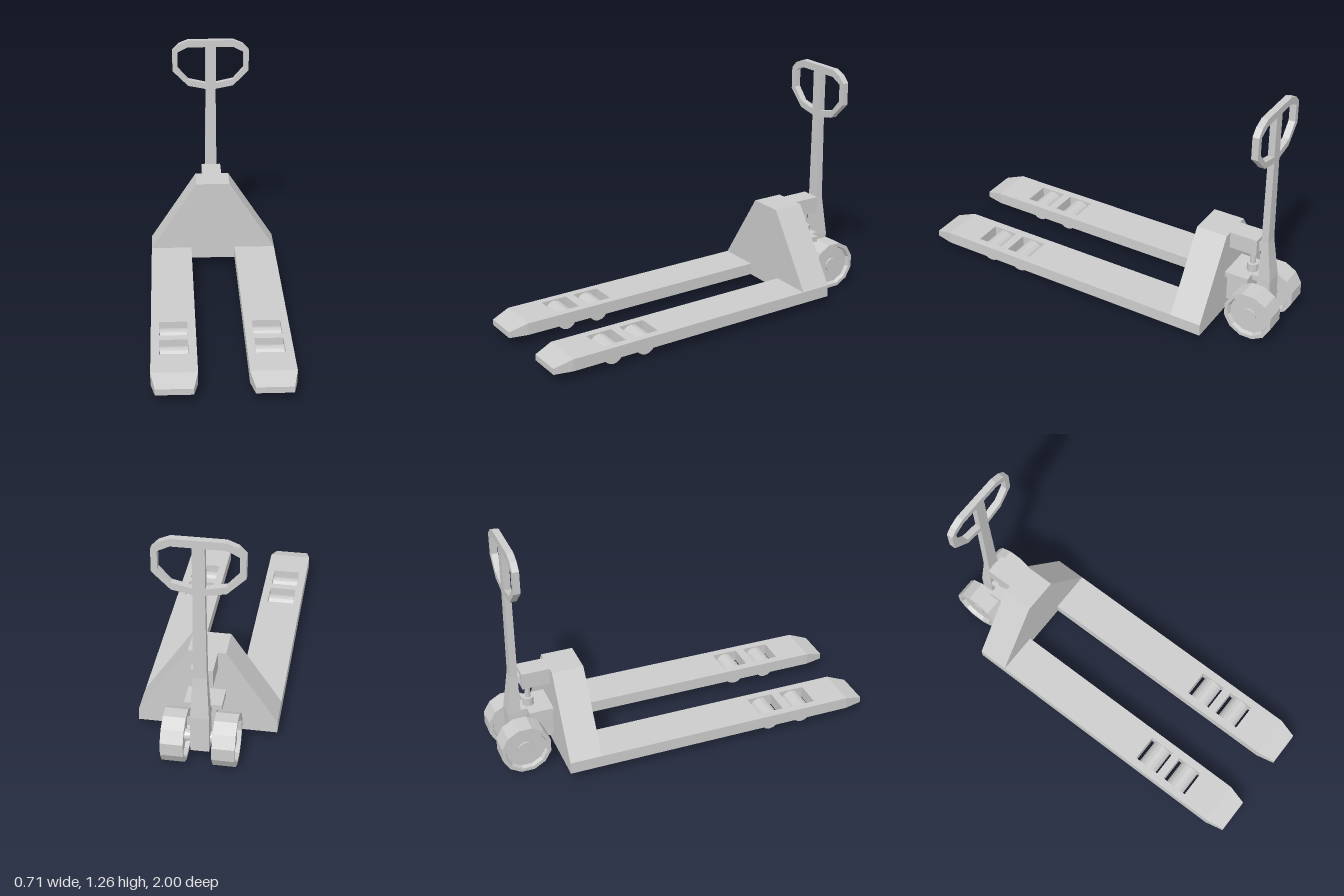
import * as THREE from 'three';

export function createModel() {
  const model = new THREE.Group();
  model.name = 'palletJack';
  const mat = new THREE.MeshStandardMaterial({ color: 0xcccccc, flatShading: true });

  const add = (name, geo, x = 0, y = 0, z = 0, parent = model) => {
    const m = new THREE.Mesh(geo, mat);
    m.name = name;
    m.position.set(x, y, z);
    parent.add(m);
    return m;
  };
  // box given by its limits
  const block = (name, x0, x1, y0, y1, z0, z1, parent) =>
    add(name, new THREE.BoxGeometry(x1 - x0, y1 - y0, z1 - z0),
      (x0 + x1) / 2, (y0 + y1) / 2, (z0 + z1) / 2, parent);
  const shapeOf = pts => new THREE.Shape(pts.map(p => new THREE.Vector2(...p)));
  const extrude = (shape, depth) => new THREE.ExtrudeGeometry(shape, { depth, bevelEnabled: false });
  const mirrored = pts => [...pts, ...pts.slice().reverse().map(([x, y]) => [-x, y])];

  // Housing: a truncated triangular block behind the forks
  add('housing', extrude(shapeOf(mirrored([[0.355, 0.05], [0.355, 0.115], [0.095, 0.51]])), 0.17), 0, 0, -0.69);

  // Forks with roller slots and tapered tips
  const rollerZ = [0.46, 0.65];
  for (const side of [1, -1]) {
    const fork = new THREE.Group();
    fork.name = side > 0 ? 'leftFork' : 'rightFork';
    fork.position.x = side * 0.24;
    model.add(fork);

    // plan outline, drawn with y = -z
    const plan = shapeOf([[-0.115, -0.9], [0.115, -0.9], [0.115, 0.53], [-0.115, 0.53]]);
    for (const z of rollerZ) {
      const a = -z - 0.072, b = -z + 0.072;
      plan.holes.push(new THREE.Path([[-0.073, a], [-0.073, b], [0.073, b], [0.073, a]]
        .map(p => new THREE.Vector2(...p))));
    }
    add('forkBlade', extrude(plan, 0.065).rotateX(-Math.PI / 2), 0, 0.05, 0, fork);

    const tip = new THREE.BoxGeometry(0.23, 0.065, 0.1);
    const p = tip.attributes.position;
    for (let i = 0; i < p.count; i++) {
      if (p.getZ(i) < 0) continue;
      p.setX(i, p.getX(i) * 0.81);
      if (p.getY(i) > 0) p.setY(i, 0.0);
    }
    tip.computeVertexNormals();
    add('forkTip', tip, 0, 0.0825, 0.95, fork);

    for (const z of rollerZ)
      add('loadRoller', new THREE.CylinderGeometry(0.055, 0.055, 0.143, 16).rotateZ(Math.PI / 2), 0, 0.055, z, fork);
  }

  // Steering wheels: 12-sided, with recessed faces and a raised hub
  const half = [[0, 0.045], [0.04, 0.045], [0.04, 0.035], [0.108, 0.035], [0.115, 0.057], [0.1345, 0.057]];
  const profile = [...half.map(([r, y]) => [r, -y]), ...half.slice().reverse()]
    .map(p => new THREE.Vector2(...p));
  const wheelGeo = new THREE.LatheGeometry(profile, 12).rotateY(Math.PI / 12).rotateZ(Math.PI / 2);
  for (const side of [1, -1])
    add(side > 0 ? 'leftWheel' : 'rightWheel', wheelGeo, side * 0.127, 0.13, -0.87);
  add('axle', new THREE.CylinderGeometry(0.03, 0.03, 0.2, 12).rotateZ(Math.PI / 2), 0, 0.13, -0.87);

  // Pump: upper arm, base plate, lower mount and piston
  block('upperArm', -0.055, 0.055, 0.42, 0.51, -0.84, -0.69);
  block('basePlate', -0.095, 0.095, 0.26, 0.29, -0.82, -0.69);
  block('basePlateTongue', -0.045, 0.045, 0.26, 0.29, -0.86, -0.82);
  block('lowerMount', -0.065, 0.065, 0.105, 0.26, -0.8, -0.69);
  add('piston', new THREE.CylinderGeometry(0.015, 0.015, 0.13, 12), 0, 0.355, -0.8);
  add('pistonCollar', new THREE.CylinderGeometry(0.03, 0.03, 0.045, 12), 0, 0.3125, -0.8);
  add('handlePivot', new THREE.CylinderGeometry(0.02, 0.04, 0.02, 4, 1).rotateY(Math.PI / 4).rotateX(-Math.PI / 2),
    0, 0.46, -0.848);

  // Handle stalk: stacked cross-sections [y, half width, front z, back z]
  const sections = [[0.08, 0.047, -0.855, -0.925], [0.28, 0.047, -0.855, -0.922],
    [0.5, 0.034, -0.855, -0.893], [1.24, 0.026, -0.856, -0.889]];
  const verts = [], index = [];
  for (const [y, w, f, b] of sections) verts.push(-w, y, f, w, y, f, w, y, b, -w, y, b);
  for (let s = 0; s < sections.length - 1; s++) {
    for (let k = 0; k < 4; k++) {
      const a = s * 4 + k, b = s * 4 + (k + 1) % 4;
      index.push(a, b, b + 4, a, b + 4, a + 4);
    }
  }
  const t = verts.length / 3 - 4;
  index.push(0, 2, 1, 0, 3, 2, t, t + 1, t + 2, t, t + 2, t + 3);
  const stalk = new THREE.BufferGeometry();
  stalk.setAttribute('position', new THREE.Float32BufferAttribute(verts, 3));
  stalk.setIndex(index);
  stalk.computeVertexNormals();
  add('handleStalk', stalk);

  // Handle loop: faceted ring with an opening on each side of the stalk
  const loop = shapeOf(mirrored([[0.03, 0.97], [0.13, 0.99], [0.22, 1.08], [0.22, 1.2], [0.185, 1.237], [0.13, 1.26]]));
  const opening = [[0.03, 1.005], [0.13, 1.027], [0.19, 1.095], [0.19, 1.19], [0.13, 1.22], [0.03, 1.22]];
  for (const side of [1, -1])
    loop.holes.push(new THREE.Path(opening.map(([x, y]) => new THREE.Vector2(side * x, y))));
  add('handleLoop', extrude(loop, 0.035), 0, 0, -0.89);

  return model;
}
